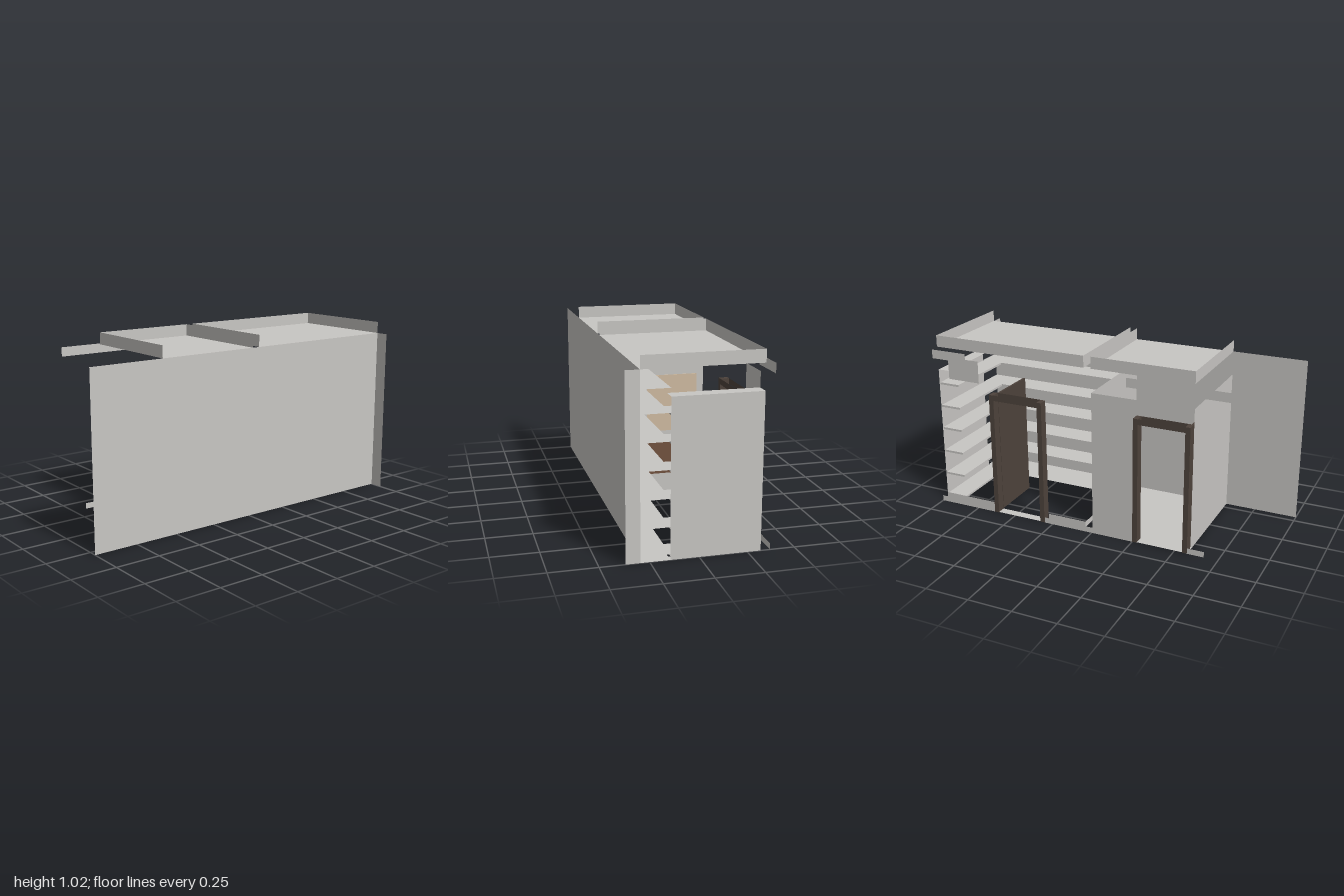
import * as THREE from 'three';

export function createModel() {
  const model = new THREE.Group();
  const material = (name, color) => {
    const m = new THREE.MeshStandardMaterial({ color, side: THREE.DoubleSide });
    m.name = name;
    return m;
  };
  const gray = material('warm gray', 0xc8c6c3);
  const dark = material('dark wood', 0x4e433c);
  const tan = material('tan', 0xd0bca2);
  const brown = material('brown wood', 0x72533f);

  // Axis-aligned panel from its extents; an axis without extent gives a flat sheet
  function panel(name, mat, x0, x1, y0, y1, z0, z1, parent = model) {
    const w = x1 - x0, h = y1 - y0, d = z1 - z0;
    let geo;
    if (w === 0) geo = new THREE.PlaneGeometry(d, h).rotateY(-Math.PI / 2);
    else if (h === 0) geo = new THREE.PlaneGeometry(w, d).rotateX(-Math.PI / 2);
    else if (d === 0) geo = new THREE.PlaneGeometry(w, h);
    else geo = new THREE.BoxGeometry(w, h, d);
    const mesh = new THREE.Mesh(geo, mat);
    mesh.position.set((x0 + x1) / 2, (y0 + y1) / 2, (z0 + z1) / 2);
    mesh.name = name;
    parent.add(mesh);
    return mesh;
  }

  const L = -0.32, R = 0.297, OUT = -0.37;   // room sides and corridor face
  const WALL = 0.818, TOP = 0.955, CURB = 0.033;

  // Long side wall and its return at the back
  panel('sideWall', gray, R, R, 0, TOP, -1, 1);
  panel('sideWallReturn', gray, R, 0.37, 0, TOP, -1, -1);

  // Ceiling trays, open on the side of the long wall
  for (const [z0, z1] of [[-1, -0.062], [-0.018, 0.575]]) {
    const tray = new THREE.Group();
    tray.name = 'ceilingTray';
    panel('ceiling', gray, L, R, TOP, TOP, z0, z1, tray);
    panel('sideFascia', gray, L, L, TOP, 1.022, z0, z1, tray);
    for (const z of [z0, z1]) panel('endFascia', gray, L, R, TOP, 1.022, z, z, tray);
    model.add(tray);
  }

  // Front room: floor and three low walls
  panel('frontRoomFloor', gray, L, R, 0, 0, -0.018, 0.575);
  panel('frontWall', gray, L, R, 0, WALL, 0.575, 0.575);
  panel('dividingWall', gray, L, R, 0, WALL, -0.018, -0.018);
  panel('corridorWall', gray, L, L, 0, WALL, -0.018, 0.25);

  // Board and low panel on the dividing wall
  panel('pinBoard', tan, -0.28, 0.015, 0.37, 0.7, -0.024, -0.019);
  panel('lowPanel', brown, -0.28, 0.015, 0.11, 0.3, -0.024, -0.019);

  // Back room: rear wall with cap, L-shaped closet floor and shelves
  panel('rearWall', gray, L, 0.147, 0, WALL, -1, -1);
  panel('rearWallCap', gray, L, 0.147, WALL, WALL, -1, -0.925);
  panel('closetFloor', gray, 0.147, R, 0, 0, -1, -0.1);
  panel('closetFloorBack', gray, L, 0.147, 0, 0, -1, -0.96);
  for (const y of [0.03, 0.17, 0.315, 0.46, 0.6, 0.74, 0.86]) {
    panel('sideShelf', gray, 0.147, R, y, y, -1, -0.1);
    if (y < WALL) panel('rearShelf', gray, L, 0.147, y - 0.012, y, -0.995, -0.87);
  }
  panel('dividingCurb', gray, L, R, 0, CURB, -0.062, -0.062);

  // Low curbs on both faces of the corridor wall, broken at the doors
  for (const [z0, z1] of [[-1, -0.635], [-0.3, 0.25], [0.57, 0.67]])
    panel('outerCurb', gray, OUT, OUT, 0, CURB, z0, z1);
  for (const [z0, z1] of [[-1, -0.635], [-0.3, -0.062]])
    panel('innerCurb', gray, L, L, 0, CURB, z0, z1);

  // Upper strips along the corridor
  panel('upperStripBack', gray, OUT, OUT, 0.9, 0.952, -1, -0.78);
  panel('upperStripFront', gray, OUT, OUT, 0.9, 0.952, 0.21, 0.79);
  panel('upperInfill', gray, L, L, 0.77, 0.9, -0.93, -0.73);

  // Doors: posts, open header boards, sill and a leaf swung into the room
  function door(z0, z1, hinge) {
    const group = new THREE.Group();
    group.name = 'door';
    for (const z of [z0, z1 - 0.028])
      panel('doorPost', dark, OUT, L, 0, 0.732, z, z + 0.028, group);
    for (const x of [OUT, L])
      panel('doorHeader', dark, x, x, 0.7, 0.732, z0, z1, group);
    panel('doorSill', gray, OUT, L, 0.003, 0.003, z0 + 0.028, z1 - 0.028, group);
    panel('doorLeaf', dark, -0.315, -0.01, 0.005, 0.725, hinge, hinge + 0.012, group);
    panel('doorRail', dark, -0.3, -0.03, 0.335, 0.345, hinge - 0.005, hinge, group);
    model.add(group);
  }
  door(-0.635, -0.302, -0.62);
  door(0.25, 0.573, 0.555);

  return model;
}
